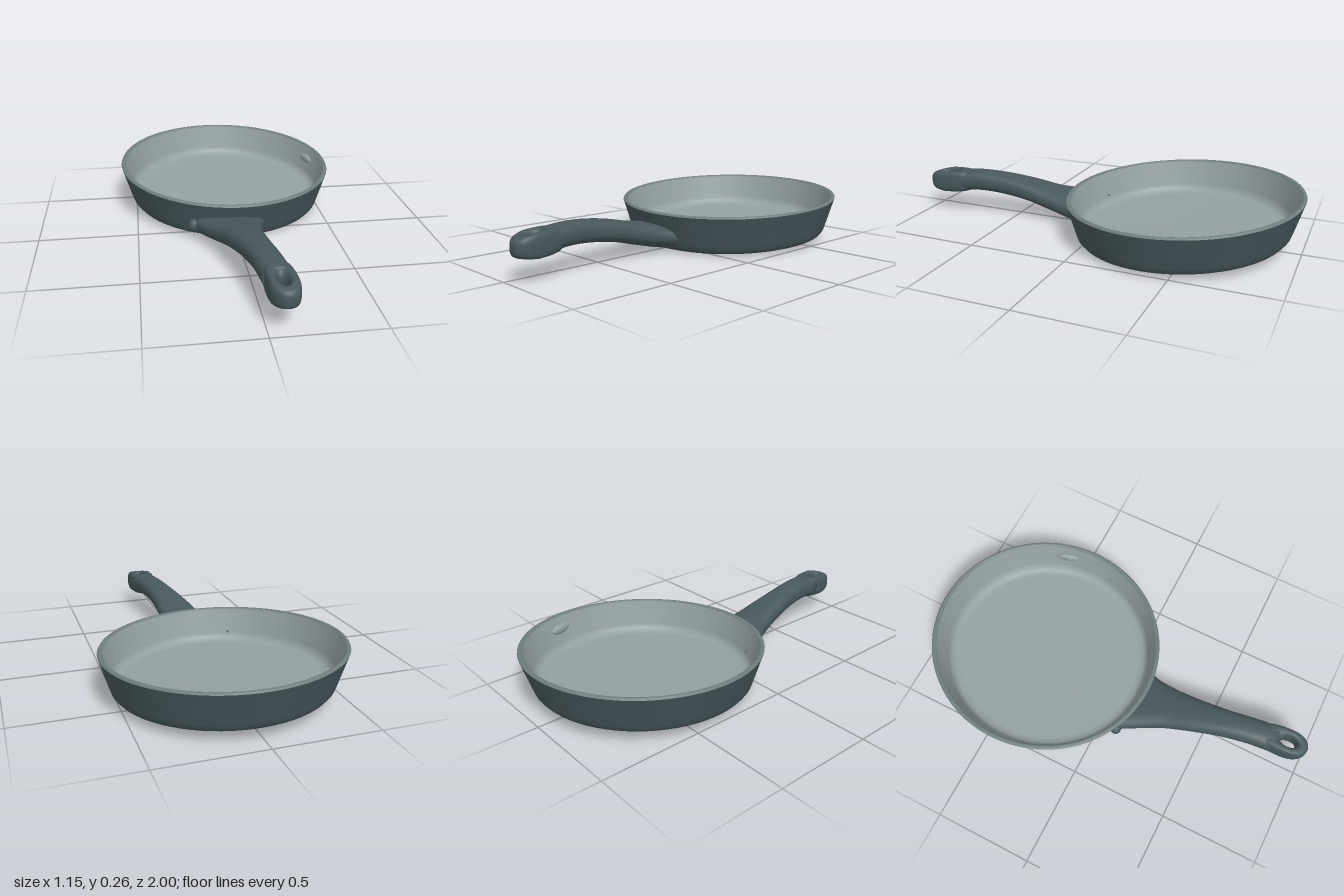
import * as THREE from 'three';

// Closed-section surface: point(i, j) gives a position; j always wraps, i wraps if asked
function gridSurface(rows, cols, point, wrapRows = false) {
  const pos = [], idx = [];
  for (let i = 0; i < rows; i++)
    for (let j = 0; j < cols; j++) pos.push(...point(i, j));
  for (let i = 0; i < (wrapRows ? rows : rows - 1); i++)
    for (let j = 0; j < cols; j++) {
      const k = (j + 1) % cols, n = (i + 1) % rows;
      const a = i * cols + j, b = i * cols + k, c = n * cols + j, d = n * cols + k;
      idx.push(a, b, c, b, d, c);
    }
  if (!wrapRows) // close the far end
    for (let j = 1; j < cols - 1; j++) {
      const s = (rows - 1) * cols;
      idx.push(s, s + j, s + j + 1);
    }
  const geo = new THREE.BufferGeometry();
  geo.setAttribute('position', new THREE.Float32BufferAttribute(pos, 3));
  geo.setIndex(idx);
  geo.computeVertexNormals();
  return geo;
}

const power = (v, e) => Math.sign(v) * Math.abs(v) ** e;

export function createModel() {
  const group = new THREE.Group();
  const material = (name, color) => {
    const m = new THREE.MeshStandardMaterial({ color });
    m.name = name;
    return m;
  };
  const iron = material('dark slate iron', 0x47585c);
  const worn = material('worn rim grey', 0x6f7e7f);
  const inside = material('pale cooking surface', 0x94a1a1);

  const add = (name, geo, mat) => {
    const mesh = new THREE.Mesh(geo, mat);
    mesh.name = name;
    group.add(mesh);
    return mesh;
  };

  // Pan body: turned profiles, leaning slightly forward and to its left
  const lean = new THREE.Matrix4().set(
    1, 0, 0, 0,
    -0.024, 1, -0.051, -0.003,
    0, 0, 1.015, -0.416,
    0, 0, 0, 1);
  const turned = (name, profile, mat) => {
    const pts = profile.map(([r, y]) => new THREE.Vector2(r, y));
    add(name, new THREE.LatheGeometry(pts, 72).applyMatrix4(lean), mat);
  };
  turned('panOutside', [[0, 0.03], [0.43, 0.03], [0.48, 0.033], [0.508, 0.043], [0.522, 0.06],
    [0.53, 0.085], [0.568, 0.212], [0.574, 0.23]], iron);
  turned('panRim', [[0.574, 0.23], [0.57, 0.237], [0.562, 0.239], [0.555, 0.237], [0.55, 0.231]], worn);
  turned('panInside', [[0.55, 0.231], [0.519, 0.11], [0.511, 0.088], [0.495, 0.073], [0.465, 0.066],
    [0, 0.062]], inside);

  // Handle: stations of centre x, centre y, z, half width, half height
  const stations = [
    [-0.045, 0.071, 0.115, 0.19, 0.066],
    [-0.035, 0.085, 0.18, 0.15, 0.064],
    [-0.012, 0.115, 0.3, 0.108, 0.056],
    [0.003, 0.145, 0.42, 0.088, 0.054],
    [0.027, 0.171, 0.58, 0.07, 0.054],
    [0.048, 0.179, 0.71, 0.066, 0.054],
    [0.066, 0.17, 0.84, 0.066, 0.056]];
  const spine = new THREE.CatmullRomCurve3(stations.map(s => new THREE.Vector3(s[0], s[1], s[2])));
  const size = new THREE.CatmullRomCurve3(stations.map(s => new THREE.Vector3(s[3], s[4], 0)));
  const rows = 37, cols = 32;
  add('handle', gridSurface(rows, cols, (i, j) => {
    const t = i / (rows - 1), a = j / cols * Math.PI * 2;
    const p = spine.getPoint(t), s = size.getPoint(t);
    const x = p.x + s.x * power(Math.cos(a), 0.8);
    const dy = s.y * power(Math.sin(a), 0.8);
    // the root follows the round, sloping wall of the pan and tucks under it
    const hug = Math.max(0, 1 - t * 3);
    const z = p.z + hug * (Math.sqrt(0.3025 - x * x) - 0.55 + dy * (dy < 0 ? 0.9 : 0.3));
    return [x, p.y + dy, z];
  }), iron);

  // Handle end: rounded loop around the hanging hole, its back running into the handle
  const ringCols = 24, ringRows = 56;
  add('hangingLoop', gridSurface(ringRows, ringCols, (i, j) => {
    const a = i / ringRows * Math.PI * 2, b = j / ringCols * Math.PI * 2;
    const c = Math.cos(a), s = Math.sin(a);
    const e = s < 0 ? 0.7 : 0.9, reach = s < 0 ? 0.16 : 0.1;
    const mix = 0.5 + 0.5 * power(Math.cos(b), 0.7);
    const x = THREE.MathUtils.lerp(0.024 * c, 0.067 * power(c, e), mix);
    const z = THREE.MathUtils.lerp(0.04 * s, reach * power(s, e), mix);
    const h = 0.056 - Math.max(0, z) * 0.16;
    return [0.073 + x + z * 0.07, 0.166 - z * 0.05 + h * power(Math.sin(b), 0.7), 0.9 + z];
  }, true), iron);

  // Small lumps: one where the handle root meets the wall, one on the inner wall
  const lump = (name, mat, position, scale, turn) => {
    const mesh = add(name, new THREE.SphereGeometry(1, 20, 14), mat);
    mesh.position.set(...position);
    mesh.scale.set(...scale);
    mesh.rotation.y = turn;
  };
  lump('rootLump', iron, [-0.218, 0.08, 0.092], [0.03, 0.036, 0.028], 0.4);
  lump('innerWallLump', inside, [0.508, 0.165, -0.57], [0.016, 0.025, 0.06], 0.28);

  return group;
}
